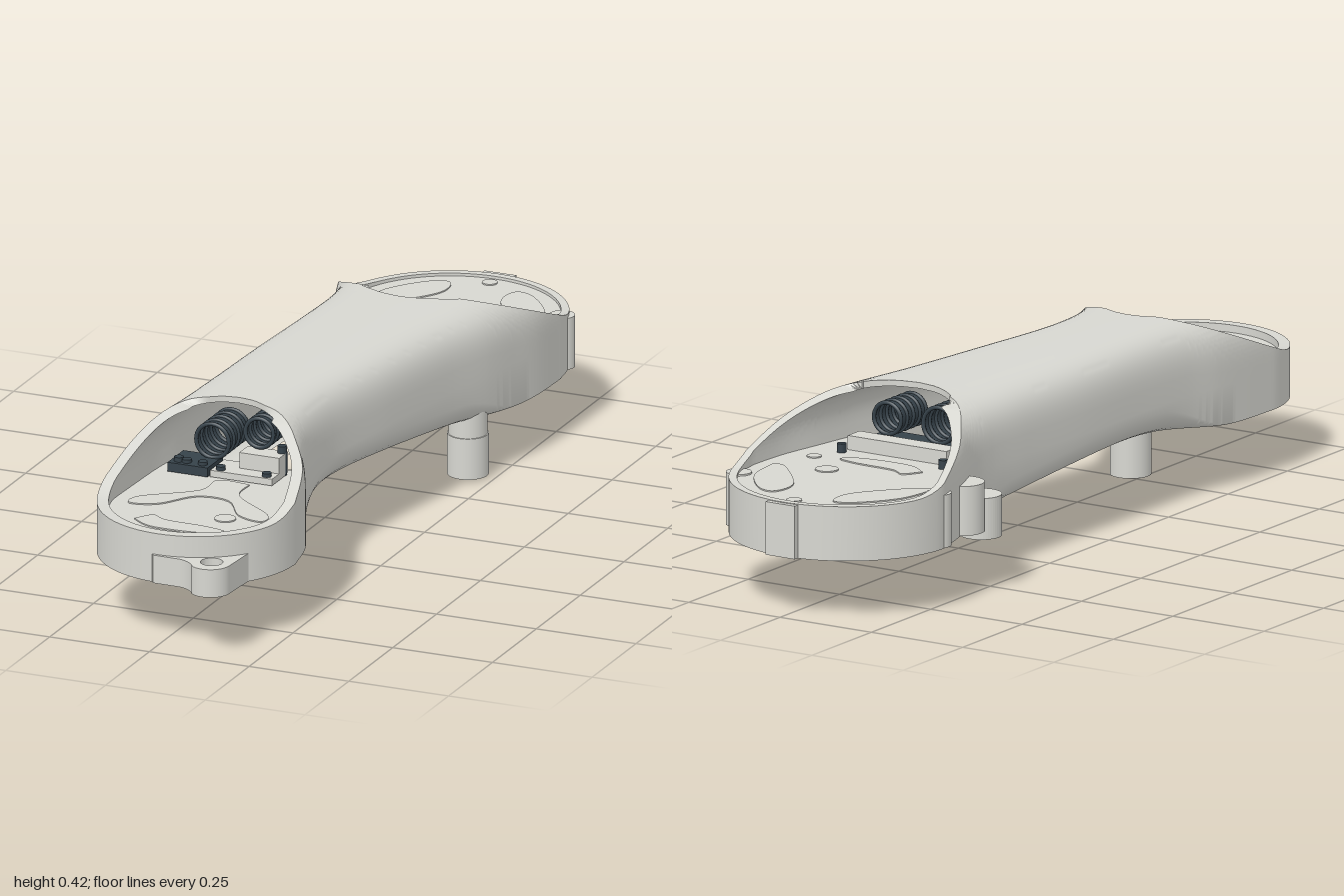
import * as THREE from 'three';
import { toCreasedNormals } from 'three/addons/utils/BufferGeometryUtils.js';

const mat = (name, color) => {
  const m = new THREE.MeshStandardMaterial({ color, side: THREE.DoubleSide });
  m.name = name;
  return m;
};

export function createModel() {
  const group = new THREE.Group();
  const grey = mat('shell grey', 0xd7d7d1);
  const dark = mat('dark slate', 0x36424a);
  const { smoothstep } = THREE.MathUtils;
  const add = (name, geo, m, x = 0, y = 0, z = 0) => {
    const mesh = new THREE.Mesh(geo, m);
    mesh.name = name;
    mesh.position.set(x, y, z);
    group.add(mesh);
    return mesh;
  };
  const box = (name, m, w, h, d, x, y, z) => add(name, new THREE.BoxGeometry(w, h, d), m, x, y, z);
  const cyl = (name, m, r, y0, y1, x, z) =>
    add(name, new THREE.CylinderGeometry(r, r, y1 - y0, 40), m, x, (y0 + y1) / 2, z);

  // Plan outline as stations: x = left edge, y = right edge, z
  const neck = new THREE.CatmullRomCurve3([
    [0.71, -0.237, 0.238], [0.6, -0.232, 0.215], [0.5, -0.225, 0.17], [0.4, -0.213, 0.138],
    [0.25, -0.205, 0.13], [0, -0.2, 0.165], [-0.25, -0.19, 0.205], [-0.4, -0.19, 0.238],
    [-0.5, -0.203, 0.255], [-0.6, -0.238, 0.27], [-0.72, -0.27, 0.275],
  ].map(([z, l, r]) => new THREE.Vector3(l, r, z)));
  const head = (zc, r, dz) => Array.from({ length: 24 }, (_, i) => {
    const a = ((i + 1) / 24) * Math.PI / 2;
    return new THREE.Vector3(-r * Math.cos(a), r * Math.cos(a), zc + dz * Math.sin(a));
  });
  const stations = [...head(0.71, 0.237, 0.24).reverse(), ...neck.getPoints(200), ...head(-0.72, 0.272, -0.268)];

  // Height rules: underside, rounded lower edge of the neck, and the sloped end cuts
  const bottomY = z => z > 0.2
    ? 0.18 - 0.028 * smoothstep(z, 0.2, 0.62)
    : 0.18 - 0.038 * smoothstep(-z, -0.2, 0.5);
  const edgeR = z => 0.055 * (1 - smoothstep(Math.abs(z), 0.3, 0.55));
  const cutY = z => {
    const d = (0.148 - 0.41 * (Math.abs(z) - 0.42)) / 2;
    return 0.27 + d + Math.hypot(d, 0.008);
  };
  // Half width of the scooped mouth at the top of each opening
  const mouth = z => 0.55 * Math.sqrt(THREE.MathUtils.clamp((Math.abs(z) - (z > 0 ? 0.4 : 0.38)) / 0.045, 0, 1));
  const innerK = z => 0.885 + 0.045 * smoothstep(-z, 0.4, 0.7);

  // Hollow arched shell, lofted one side at a time
  const N = 3.8, BASE = 0.25, STEPS = 16, ROUND = 5;
  const arch = (s, side, inner) => {
    const k = inner ? innerK(s.z) : 1;
    const c = (s.x + s.y) / 2, full = (s.y - s.x) / 2, hw = full * k;
    const z = Math.abs(s.z) > 0.715 ? Math.sign(s.z) * (0.715 + (Math.abs(s.z) - 0.715) * k) : s.z;
    const H = (inner ? 0.404 : 0.418) - BASE;
    const cut = Math.asin(Math.min(1, Math.pow((cutY(s.z) - BASE) / H, N / 2)));
    const gap = Math.acos(Math.min(1, Math.pow(mouth(s.z) / k, N / 2)));
    const top = Math.min(cut, gap), e = edgeR(s.z), pts = [];
    for (let j = 0; j <= ROUND; j++) {
      const t = j / ROUND * Math.PI / 2;
      pts.push(inner ? [c + side * hw, 0.2 + 0.008 * j, z]
        : [c + side * (hw - e * (1 - Math.sin(t))), bottomY(s.z) + e * (1 - Math.cos(t)), z]);
    }
    for (let j = 0; j <= STEPS; j++) {
      const t = top * j / STEPS;
      pts.push([c + side * hw * Math.pow(Math.max(0, Math.cos(t)), 2 / N),
        BASE + H * Math.pow(Math.sin(t), 2 / N), z]);
    }
    return pts;
  };
  for (const side of [-1, 1]) {
    const pos = [], idx = [];
    stations.forEach(s => pos.push(...arch(s, side, false).flat(), ...arch(s, side, true).reverse().flat()));
    const cols = 2 * (STEPS + ROUND + 2);
    for (let i = 0; i < stations.length - 1; i++) {
      for (let j = 0; j < cols - 1; j++) {
        const a = i * cols + j, b = a + 1, c = a + cols, d = c + 1;
        if (side > 0) idx.push(a, c, b, b, c, d);
        else idx.push(a, b, c, b, d, c);
      }
    }
    const geo = new THREE.BufferGeometry();
    geo.setAttribute('position', new THREE.Float32BufferAttribute(pos, 3));
    geo.setIndex(idx);
    add(side > 0 ? 'leftShell' : 'rightShell', toCreasedNormals(geo, 0.6), grey);
  }

  // Closed outline of any run of stations, shrunk by a rule
  const outline = (list, rule) => {
    const edge = side => list.map(s => {
      const k = rule(s), a = Math.abs(s.z);
      const z = a > 0.715 ? Math.sign(s.z) * (0.715 + (a - 0.715) * k) : s.z;
      return new THREE.Vector2((s.x + s.y) / 2 + side * (s.y - s.x) / 2 * k, z);
    });
    return new THREE.Shape([...edge(1), ...edge(-1).reverse()]);
  };

  // Underside skin with round head recesses, slot and small hole
  const skin = outline(stations, s => 1 - edgeR(s.z) / Math.max(0.1, (s.y - s.x) / 2));
  const hole = (x, z, r) => skin.holes.push(new THREE.Path().absarc(x, z, r, 0, Math.PI * 2, true));
  hole(0, 0.705, 0.203);
  hole(0, -0.715, 0.243);
  hole(0.006, 0.3, 0.025);
  const slot = new THREE.Path();
  slot.absarc(-0.03, 0.13, 0.07, 0, Math.PI, false);
  slot.absarc(-0.03, 0.01, 0.07, Math.PI, Math.PI * 2, false);
  skin.holes.push(slot);
  const skinGeo = new THREE.ShapeGeometry(skin, 32).rotateX(Math.PI / 2);
  const p = skinGeo.attributes.position;
  for (let i = 0; i < p.count; i++) p.setY(i, bottomY(p.getZ(i)));
  skinGeo.computeVertexNormals();
  add('underside', skinGeo, grey);

  // Head floors, recess walls and recess ceilings
  const flat = (name, shape, y, depth) =>
    add(name, new THREE.ExtrudeGeometry(shape, { depth, bevelEnabled: false, curveSegments: 24 })
      .rotateX(Math.PI / 2), grey, 0, y, 0);
  const floors = { front: 0.253, back: 0.264 };
  const floorRule = s => innerK(s.z) + 0.01;
  flat('frontFloor', outline(stations.filter(s => s.z > 0.38), floorRule), floors.front, 0.008);
  flat('backFloor', outline(stations.filter(s => s.z < -0.36), floorRule), floors.back, 0.008);
  for (const [z, r, y0] of [[0.705, 0.203, 0.152], [-0.715, 0.243, 0.142]]) {
    add('recessWall', new THREE.CylinderGeometry(r, r, 0.235 - y0, 64, 1, true), grey, 0, (0.235 + y0) / 2, z);
    cyl('recessCeiling', grey, r, 0.233, 0.239, 0, z);
  }

  // Low raised panels on the floors
  const panel = (y, pts) => flat('floorPanel',
    new THREE.Shape(new THREE.SplineCurve([...pts, pts[0]].map(q => new THREE.Vector2(...q))).getPoints(60)), y + 0.003, 0.004);
  const half = [[0.04, 0.52], [0.05, 0.6], [0.16, 0.69], [0.165, 0.74], [0.1, 0.72], [0.04, 0.64]];
  const mirror = list => list.map(([x, z]) => [-x, z]);
  panel(floors.front, [...half, ...mirror(half).reverse()]);
  const leaf = [[0.22, -0.69], [0.2, -0.8], [0.13, -0.89], [0.08, -0.9], [0.08, -0.82], [0.18, -0.7]];
  panel(floors.back, leaf);
  panel(floors.back, mirror(leaf));
  const cloud = (y, z) => panel(y, [[-0.11, z], [-0.08, z - 0.04], [-0.04, z - 0.02], [0.06, z - 0.015],
    [0.115, z], [0.07, z + 0.03], [-0.05, z + 0.035]]);
  cloud(floors.front, 0.835);
  cloud(floors.back, -0.57);
  for (const [x, z, r] of [[0.08, 0.75, 0.025], [0, -0.94, 0.018], [0.09, -0.665, 0.027], [0.18, -0.58, 0.017]]) {
    const y = z > 0 ? floors.front : floors.back;
    cyl('floorButton', grey, r, y, y + 0.003, x, z);
  }

  // Front lug with a bolt hole
  const lug = new THREE.Shape();
  lug.moveTo(-0.03, 0.93);
  lug.lineTo(-0.01, 0.957);
  lug.lineTo(0.06, 0.958);
  lug.quadraticCurveTo(0.085, 0.965, 0.1, 0.985);
  lug.absarc(0.132, 0.952, 0.048, 2.3, 0, true);
  lug.lineTo(0.187, 0.84);
  lug.lineTo(0.13, 0.89);
  lug.holes.push(new THREE.Path().absarc(0.132, 0.945, 0.026, 0, Math.PI * 2, true));
  flat('frontLug', lug, 0.22, 0.068);

  // Rim tabs on the back head
  box('backTab', grey, 0.08, 0.126, 0.03, 0, 0.206, -0.985);
  cyl('sideTab', grey, 0.03, 0.143, 0.268, 0.243, -0.8);
  cyl('sideTab', grey, 0.03, 0.143, 0.268, -0.245, -0.71);

  // Hollow bosses on the underside
  const ring = (name, x, z, r, hr, y0, y1) => {
    const s = new THREE.Shape().absarc(x, z, r, 0, Math.PI * 2, false);
    s.holes.push(new THREE.Path().absarc(x, z, hr, 0, Math.PI * 2, true));
    flat(name, s, y1, y1 - y0);
  };
  ring('sideBoss', -0.232, -0.51, 0.048, 0.025, 0.122, 0.215);
  cyl('sideBossCap', grey, 0.048, 0.21, 0.22, -0.232, -0.51);
  cyl('sideBossFillet', grey, 0.05, 0.145, 0.262, -0.224, -0.575);
  ring('smallBoss', 0.03, -0.37, 0.045, 0.025, 0.143, 0.165);

  // Mounting posts with screw tips
  cyl('frontPost', grey, 0.048, 0.05, 0.2, -0.065, 0.375);
  cyl('frontPostScrew', dark, 0.012, 0.049, 0.054, -0.065, 0.375);
  cyl('backPost', grey, 0.048, 0.006, 0.105, 0.185, -0.395);
  cyl('backPostNeck', grey, 0.045, 0.1, 0.2, 0.185, -0.395);
  for (const x of [0.162, 0.2]) cyl('backPostScrew', dark, 0.009, 0, 0.008, x, -0.395);

  // Short ribbed hose stubs just inside both mouths
  const hose = (x, y, z0, z1, r) => {
    const path = new THREE.LineCurve3(new THREE.Vector3(x, y, z0), new THREE.Vector3(x, y, z1));
    add('hose', new THREE.TubeGeometry(path, 1, r, 32), dark);
    for (let i = 0; i <= 4; i++) {
      add('hoseRib', new THREE.TorusGeometry(r, 0.005, 8, 32), dark).position.copy(path.getPoint(i / 4));
    }
  };
  hose(-0.088, 0.318, 0.44, 0.33, 0.041);
  hose(0.025, 0.35, 0.43, 0.33, 0.035);
  hose(-0.06, 0.338, -0.32, -0.425, 0.042);
  hose(0.08, 0.335, -0.32, -0.425, 0.037);

  // Boards, brackets and screws at both mouths
  box('frontBoard', dark, 0.1, 0.022, 0.09, -0.12, 0.266, 0.465);
  box('frontBracket', grey, 0.1, 0.05, 0.05, 0.04, 0.284, 0.44);
  box('frontBracketFoot', grey, 0.155, 0.016, 0.08, 0.012, 0.263, 0.465);
  box('backBoard', dark, 0.25, 0.022, 0.08, 0.005, 0.274, -0.39);
  box('backBracket', grey, 0.27, 0.035, 0.05, 0.015, 0.28, -0.46);
  for (const [x, z, y] of [[-0.15, 0.49, 0.288], [-0.13, 0.49, 0.285], [-0.09, 0.49, 0.285], [-0.045, 0.49, 0.28],
    [0.07, 0.49, 0.28], [0.08, 0.425, 0.326], [-0.128, -0.51, 0.285], [0.15, -0.51, 0.285]]) {
    cyl('screw', dark, 0.011, 0.255, y, x, z);
  }
  return group;
}
